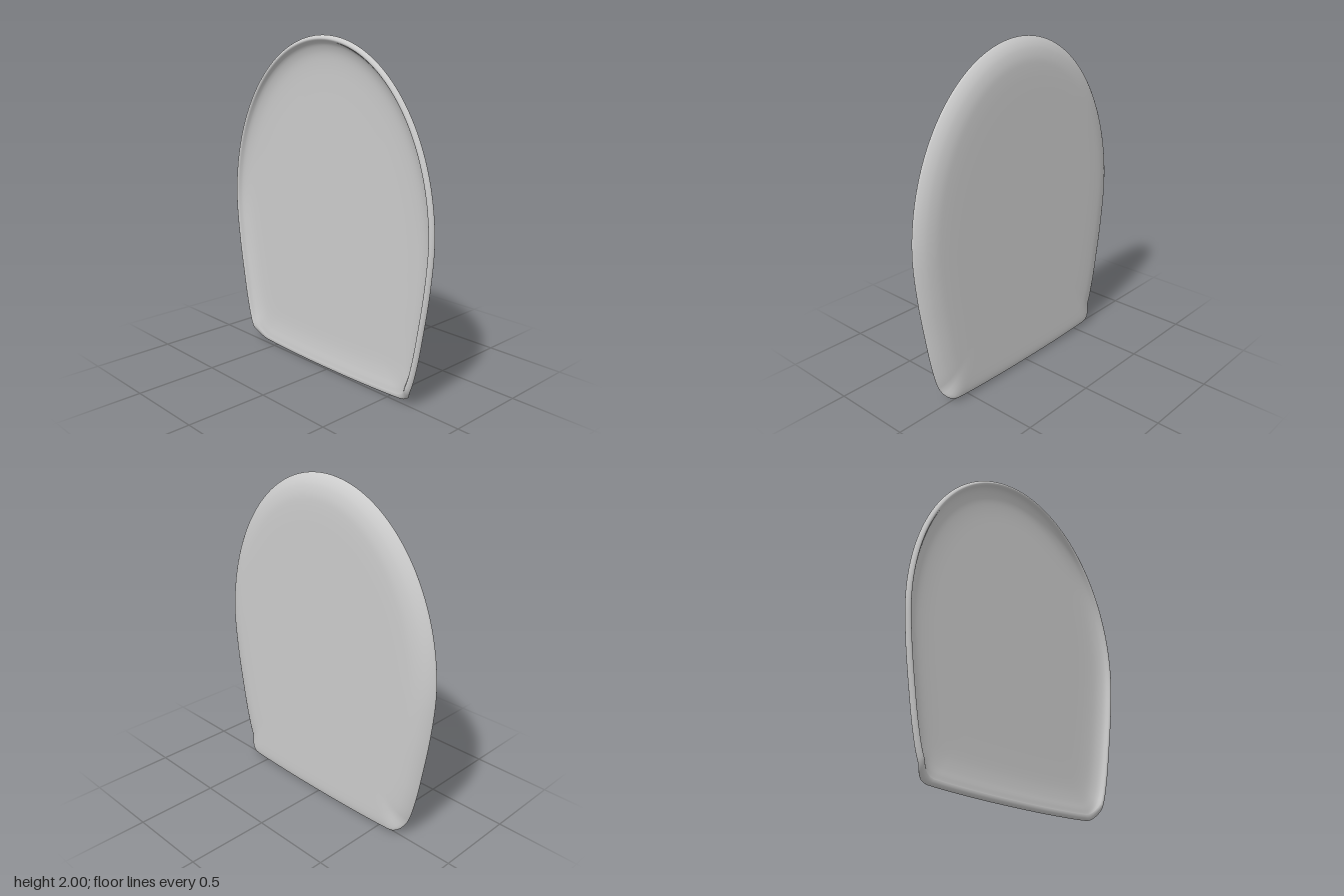
import * as THREE from 'three';

const HALF_W = 0.823, MID_Y = 0.95;

// Closed outline, counter-clockwise from the bottom middle: straight hinge edge, flared sides, elliptical top
function outline(count) {
  const half = [[0, 0], [0.25, 0.002], [0.45, 0.008], [0.55, 0.013], [0.61, 0.02], [0.655, 0.05],
    [0.692, 0.12], [0.73, 0.26], [0.765, 0.45], [0.803, 0.7]];
  for (let i = 0; i < 9; i++) {
    const a = (i / 9) * Math.PI / 2;
    half.push([HALF_W * Math.cos(a), MID_Y + (2 - MID_Y) * Math.sin(a)]);
  }
  const mirrored = half.slice(1).reverse().map(([x, y]) => [-x, y]);
  const pts = [...half, [0, 2], ...mirrored].map(([x, y]) => new THREE.Vector3(x, y, 0));
  const curve = new THREE.CatmullRomCurve3(pts, true);
  curve.arcLengthDivisions = 2000;
  return curve.getSpacedPoints(count).slice(0, count);
}

// Cross-section from back to front: inset from the edge, z along the rim, z along the hinge edge
function section(count) {
  const rows = [
    [0.823, -0.043, -0.043], [0.5, -0.043, -0.043], [0.28, -0.043, -0.043], [0.17, -0.041, -0.043],
    [0.11, -0.036, -0.043], [0.06, -0.022, -0.042], [0.03, -0.006, -0.039], [0.01, 0.01, -0.033],
    [0, 0.022, -0.02], [0.003, 0.032, -0.008], [0.011, 0.04, 0], [0.02, 0.043, 0.002],
    [0.028, 0.039, 0.002], [0.034, 0.029, 0.001], [0.042, 0.018, 0], [0.06, 0.006, -0.002],
    [0.1, -0.007, -0.008], [0.17, -0.014, -0.014], [0.3, -0.016, -0.016], [0.5, -0.016, -0.016],
    [0.823, -0.016, -0.016]];
  return new THREE.CatmullRomCurve3(rows.map(r => new THREE.Vector3(...r))).getPoints(count);
}

export function createModel() {
  const edge = outline(240), rows = section(80), n = edge.length;
  const pos = [], index = [];
  rows.forEach((r, i) => {
    edge.forEach((p, j) => {
      // Inset evenly towards the middle; the raised rim fades out at the hinge edge
      const ry = p.y > MID_Y ? 2 - MID_Y : MID_Y;
      const rim = THREE.MathUtils.smoothstep(p.y, 0.01, 0.1);
      pos.push(
        p.x * (1 - r.x / HALF_W),
        MID_Y + (p.y - MID_Y) * (1 - r.x / ry),
        THREE.MathUtils.lerp(r.z, r.y, rim));
      if (i === rows.length - 1) return;
      const a = i * n + j, b = i * n + (j + 1) % n;
      index.push(a, b, a + n, b, b + n, a + n);
    });
  });
  const geo = new THREE.BufferGeometry();
  geo.setAttribute('position', new THREE.Float32BufferAttribute(pos, 3));
  geo.setIndex(index);
  geo.computeVertexNormals();

  const lid = new THREE.Mesh(geo, new THREE.MeshStandardMaterial({ color: 0xcccccc }));
  lid.name = 'lid';
  const group = new THREE.Group();
  group.name = 'seatLid';
  group.add(lid);
  return group;
}
